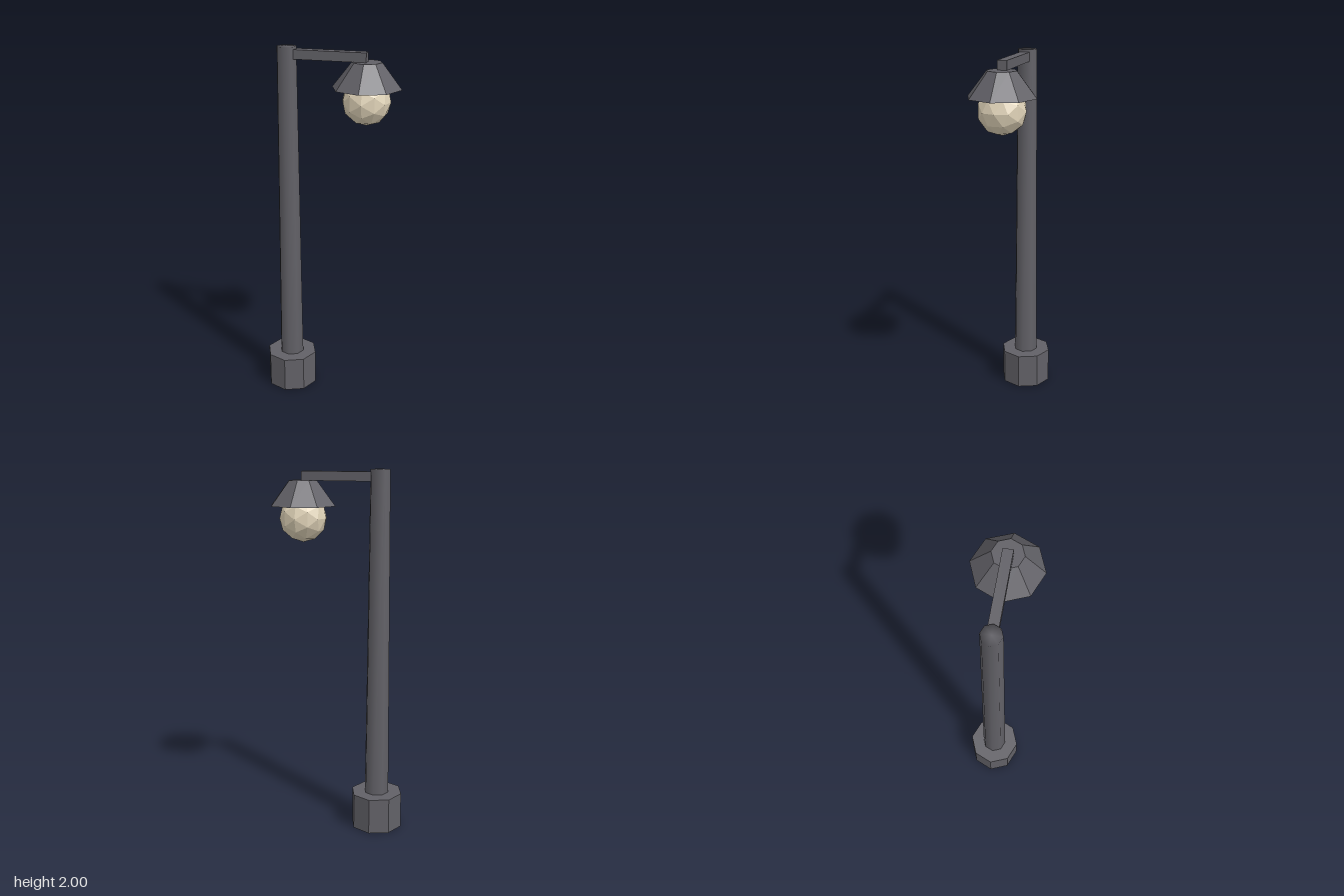
import * as THREE from 'three';
import { mergeVertices } from 'three/addons/utils/BufferGeometryUtils.js';

const POLE_X = -0.238;
const LAMP_X = 0.196;

export function createModel() {
  const group = new THREE.Group();
  group.name = 'streetLamp';

  const metal = new THREE.MeshStandardMaterial({ color: 0x626167, flatShading: true });
  metal.name = 'darkGreyMetal';
  const smoothMetal = metal.clone(); // same colour, smooth normals for the pole
  smoothMetal.flatShading = false;
  smoothMetal.name = 'darkGreyMetalSmooth';
  const glow = new THREE.MeshStandardMaterial({ color: 0xe0d3b8, flatShading: true });
  glow.name = 'creamGlass';

  const add = (name, geometry, material, x, y) => {
    const mesh = new THREE.Mesh(geometry, material);
    mesh.name = name;
    mesh.position.set(x, y, 0);
    group.add(mesh);
  };

  // Octagonal foot
  add('base', new THREE.CylinderGeometry(0.145, 0.145, 0.2, 8), metal, POLE_X, 0.1);

  // Tapered pole, normals shared across the cap rim
  let pole = new THREE.CylinderGeometry(0.054, 0.071, 1.99, 8);
  pole.deleteAttribute('normal');
  pole.deleteAttribute('uv');
  pole = mergeVertices(pole);
  pole.computeVertexNormals();
  add('pole', pole, smoothMetal, POLE_X, 1.005);

  // Horizontal arm reaching to the middle of the shade
  add('arm', new THREE.BoxGeometry(0.4, 0.05, 0.052), metal, LAMP_X - 0.2, 1.962);

  // Octagonal shade and faceted globe
  add('shade', new THREE.CylinderGeometry(0.08, 0.186, 0.135, 8), metal, LAMP_X, 1.87);
  add('globe', new THREE.IcosahedronGeometry(0.13, 1), glow, LAMP_X, 1.736);

  return group;
}
